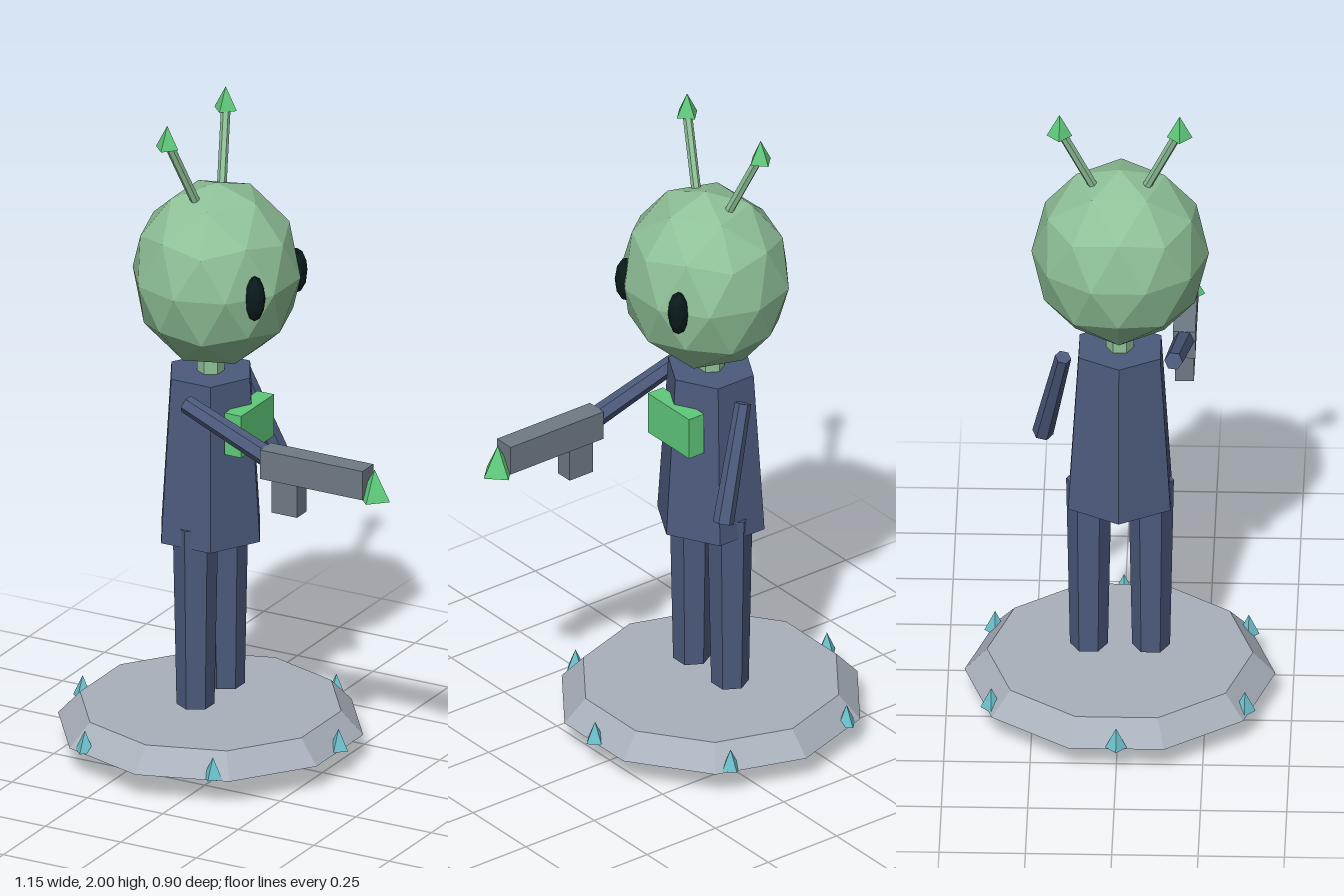
import * as THREE from 'three';

const mat = (name, color) => {
  const m = new THREE.MeshStandardMaterial({ color, flatShading: true });
  m.name = name;
  return m;
};

export function createModel() {
  const skin = mat('paleGreenSkin', 0x8fc198);
  const bright = mat('brightGreen', 0x5fc97a);
  const suit = mat('navySuit', 0x4c5a7c);
  const discGrey = mat('discGrey', 0xa9b1bc);
  const gunGrey = mat('gunGrey', 0x6f7a84);
  const cyan = mat('cyan', 0x6cc0cc);
  const black = mat('eyeBlack', 0x0a1a1c);

  const model = new THREE.Group();
  const add = (name, geo, material, x, y, z) => {
    const mesh = new THREE.Mesh(geo, material);
    mesh.name = name;
    mesh.position.set(x, y, z);
    model.add(mesh);
    return mesh;
  };
  // Faceted rod between two points
  const rod = (name, a, b, rA, rB, sides, material) => {
    const start = new THREE.Vector3(...a), end = new THREE.Vector3(...b);
    const dir = end.clone().sub(start);
    const mid = start.clone().add(end).multiplyScalar(0.5);
    const mesh = add(name, new THREE.CylinderGeometry(rB, rA, dir.length(), sides), material, mid.x, mid.y, mid.z);
    mesh.quaternion.setFromUnitVectors(new THREE.Vector3(0, 1, 0), dir.normalize());
    return mesh;
  };
  const spike = (name, r, h, material, x, base, z) =>
    add(name, new THREE.ConeGeometry(r, h, 4), material, x, base + h / 2, z);
  // Faceted ball with a pole at the top and one upper corner facing +x
  const ball = (rx, ry, rz) => {
    const g = new THREE.IcosahedronGeometry(1, 1);
    g.rotateX(-Math.atan2((1 + Math.sqrt(5)) / 2, 1));
    g.rotateY(Math.PI / 2);
    g.scale(rx, ry, rz);
    g.computeVertexNormals();
    return g;
  };

  const cx = -0.12;

  // Hovering disc with its thruster and ring of lights
  add('thruster', new THREE.CylinderGeometry(0.2, 0.2, 0.08, 8), cyan, cx, 0.04, 0);
  add('disc', new THREE.CylinderGeometry(0.385, 0.45, 0.07, 10), discGrey, cx, 0.115, 0);
  for (let i = 0; i < 6; i++) {
    const a = (i * Math.PI) / 3;
    spike('discLight', 0.031, 0.064, cyan, cx + 0.424 * Math.cos(a), 0.083, 0.424 * Math.sin(a));
  }

  // Body, facing +x
  const torso = new THREE.CylinderGeometry(0.13, 0.163, 0.505, 6);
  torso.rotateY(Math.PI / 2);
  torso.scale(1, 1, 1.05);
  add('torso', torso, suit, cx, 0.9325, 0);
  add('chestPlate', new THREE.BoxGeometry(0.055, 0.13, 0.195), bright, 0.008, 1.04, 0);
  add('neck', new THREE.CylinderGeometry(0.04, 0.04, 0.12, 6), skin, cx, 1.2, 0);

  // Legs
  for (const s of [1, -1]) {
    add('leg', new THREE.CylinderGeometry(0.066, 0.055, 0.56, 6), suit, cx, 0.455, s * 0.09);
  }

  // One arm raised to the gun, one hanging
  rod('gunArm', [-0.115, 1.135, 0.155], [0.175, 1.03, 0.178], 0.027, 0.031, 6, suit);
  rod('hangingArm', [-0.11, 1.14, -0.165], [0.01, 0.81, -0.227], 0.024, 0.031, 6, suit);

  // Ray gun
  add('gunBarrel', new THREE.BoxGeometry(0.34, 0.09, 0.065), gunGrey, 0.33, 1.02, 0.178);
  add('gunGrip', new THREE.BoxGeometry(0.085, 0.12, 0.055), gunGrey, 0.238, 0.935, 0.178);
  spike('gunTip', 0.051, 0.092, bright, 0.522, 0.972, 0.178);

  // Head, eyes and antennae
  add('head', ball(0.246, 0.28, 0.257), skin, -0.1, 1.495, 0);
  for (const s of [1, -1]) {
    const eye = add('eye', ball(0.032, 0.07, 0.031), black, 0.095, 1.495, s * 0.125);
    eye.rotation.y = -s * 0.4;
    rod('antenna', [-0.123, 1.72, s * 0.07], [-0.165, 1.945, s * 0.172], 0.014, 0.014, 6, skin);
    spike('antennaTip', 0.037, 0.07, bright, -0.167, 1.93, s * 0.174);
  }
  return model;
}
